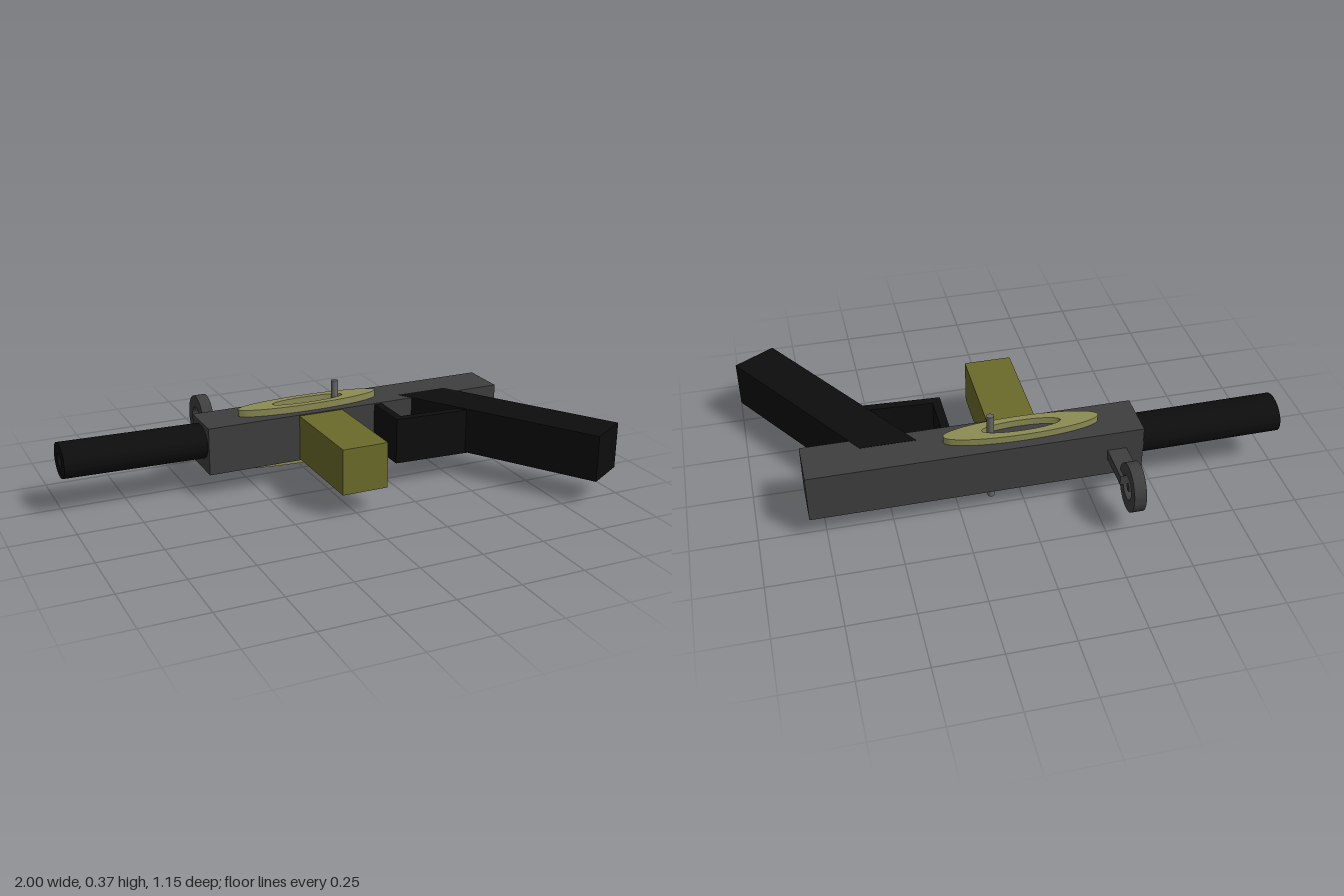
import * as THREE from 'three';
import { toCreasedNormals } from 'three/addons/utils/BufferGeometryUtils.js';

const mat = (color) => new THREE.MeshStandardMaterial({ color });
const DARK = mat(0x3e3e3e), BLACK = mat(0x0d0d0d), OLIVE = mat(0x6b6b2a);
const PALE = mat(0x8c8c55), STEEL = mat(0x686868);

export function createModel() {
  const group = new THREE.Group();

  const add = (name, geometry, material) => {
    const mesh = new THREE.Mesh(geometry, material);
    mesh.name = name;
    group.add(mesh);
    return mesh;
  };

  // Box given by its limits on each axis
  const box = (name, material, [x0, x1], [y0, y1], [z0, z1]) =>
    add(name, new THREE.BoxGeometry(x1 - x0, y1 - y0, z1 - z0), material)
      .position.set((x0 + x1) / 2, (y0 + y1) / 2, (z0 + z1) / 2);

  // Elliptical ring centred on the origin, its axis along z
  const ring = (rx, ry, hx, hy, depth) => {
    const shape = new THREE.Shape().absellipse(0, 0, rx, ry, 0, Math.PI * 2);
    shape.holes.push(new THREE.Path().absellipse(0, 0, hx, hy, 0, Math.PI * 2));
    const g = new THREE.ExtrudeGeometry(shape, { depth, bevelEnabled: false, curveSegments: 32 });
    return toCreasedNormals(g.translate(0, 0, -depth / 2), 0.6);
  };

  // Slab drawn as an outline of [x, z] points, spanning a height range
  const slab = (name, material, outline, y0, y1) => {
    const shape = new THREE.Shape(outline.map(([x, z]) => new THREE.Vector2(x, -z)));
    const g = new THREE.ExtrudeGeometry(shape, { depth: y1 - y0, bevelEnabled: false });
    return add(name, g.rotateX(-Math.PI / 2).translate(0, y0, 0), material);
  };

  box('receiver', DARK, [-0.45, 0.81], [0.095, 0.284], [-0.292, -0.107]);
  box('magazine', OLIVE, [-0.075, 0.108], [0.1, 0.28], [-0.13, 0.29]);

  // Hollow barrel, very slightly tilted
  const barrel = add('barrel', ring(0.085, 0.067, 0.034, 0.027, 0.6).rotateY(Math.PI / 2), BLACK);
  barrel.position.set(-0.7, 0.207, -0.208);
  barrel.rotation.set(0, -0.009, -0.013);

  // Raked grip and the guard in front of it
  slab('grip', BLACK, [[0.385, -0.16], [0.845, 0.575], [0.998, 0.482], [0.595, -0.16]], 0.102, 0.285);
  slab('guardFront', BLACK, [[0.25, -0.13], [0.25, 0.088], [0.283, 0.09], [0.283, -0.13]], 0.098, 0.28);
  slab('guardBottom', BLACK, [[0.25, 0.055], [0.25, 0.088], [0.58, 0.106], [0.58, 0.073]], 0.098, 0.28);

  // Oval ring showing on both flat sides of the receiver
  const oval = add('ovalRing', ring(0.295, 0.057, 0.15, 0.031, 0.242).rotateX(Math.PI / 2), PALE);
  oval.position.set(-0.002, 0.19, -0.196);

  // Pin through the receiver
  add('crossPin', new THREE.CylinderGeometry(0.014, 0.014, 0.374, 16), STEEL)
    .position.set(0.115, 0.187, -0.196);

  // Ring sight on a stem, with a small tube at its centre
  box('sightStem', DARK, [-0.385, -0.311], [0.17, 0.208], [-0.45, -0.28]);
  add('sightRing', ring(0.087, 0.095, 0.045, 0.047, 0.046).rotateY(Math.PI / 2), DARK)
    .position.set(-0.347, 0.188, -0.491);
  add('sightBead', ring(0.014, 0.017, 0.005, 0.006, 0.04).rotateY(Math.PI / 2), DARK)
    .position.set(-0.347, 0.188, -0.491);

  return group;
}
